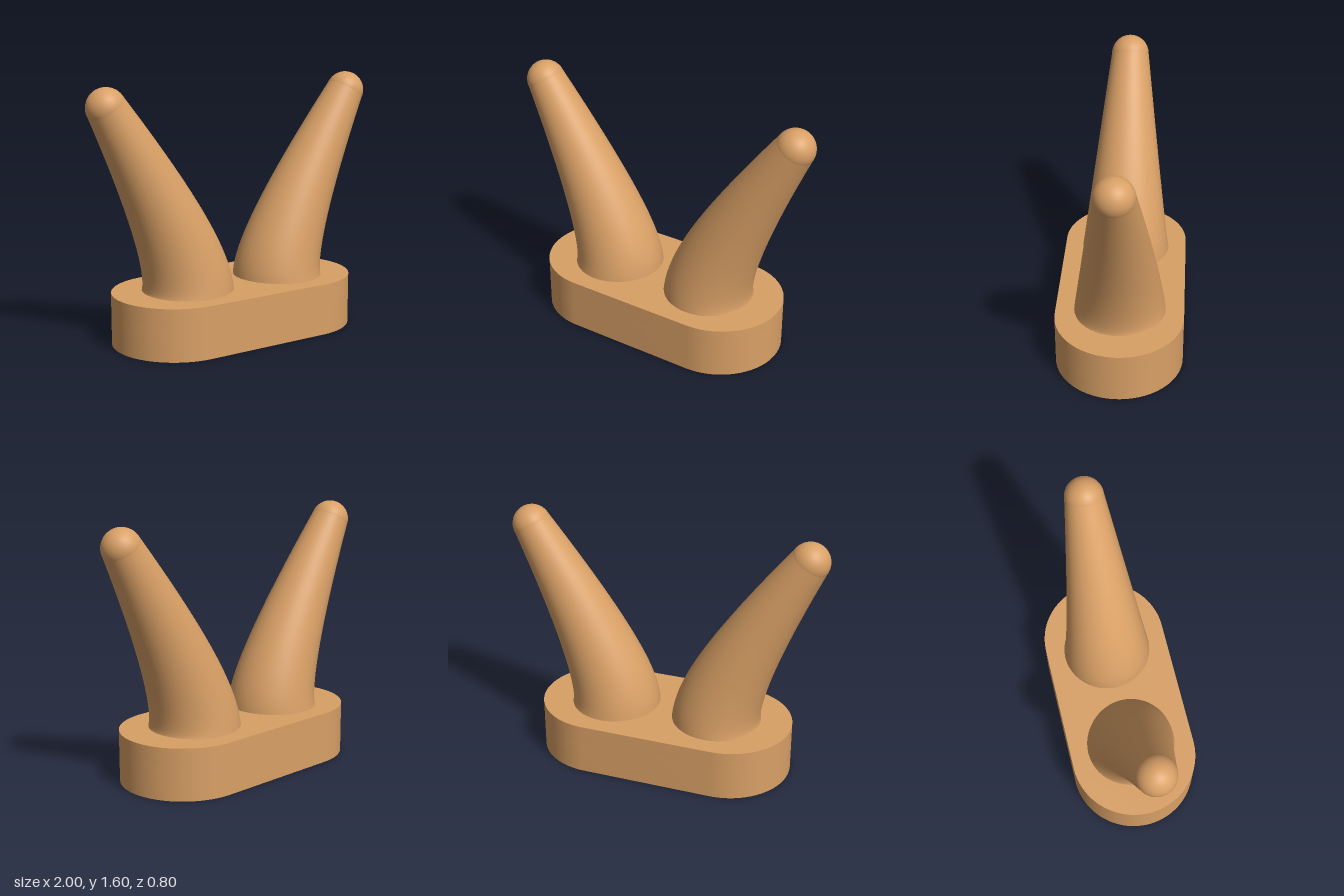
import * as THREE from 'three';
import { toCreasedNormals } from 'three/addons/utils/BufferGeometryUtils.js';
import { ParametricGeometry } from 'three/addons/geometries/ParametricGeometry.js';

const BASE_TOP = 0.325, SOCKET_DEPTH = 0.22, END_X = 0.42;
const ROOT_RADIUS = 0.285, TIP_RADIUS = 0.12;

// Slab with rounded ends, lying between two heights
function slab(y0, y1, sockets) {
  const shape = new THREE.Shape();
  shape.absarc(END_X, 0, 0.4, -Math.PI / 2, Math.PI / 2);
  shape.absarc(-END_X, 0, 0.4, Math.PI / 2, Math.PI * 1.5);
  shape.closePath();
  if (sockets) {
    for (const side of [-1, 1]) {
      shape.holes.push(new THREE.Path().absarc(side * END_X, 0, 0.225, 0, Math.PI * 2, true));
    }
  }
  const geometry = new THREE.ExtrudeGeometry(shape, { depth: y1 - y0, bevelEnabled: false, curveSegments: 32 });
  geometry.rotateX(-Math.PI / 2).translate(0, y0, 0);
  return toCreasedNormals(geometry, 0.6);
}

export function createModel() {
  const model = new THREE.Group();
  const tan = new THREE.MeshStandardMaterial({ color: 0xd9a066 });
  tan.name = 'tan';

  const add = (parent, name, geometry) => {
    const mesh = new THREE.Mesh(geometry, tan);
    mesh.name = name;
    parent.add(mesh);
    return mesh;
  };

  // Base with two blind sockets underneath
  add(model, 'baseLower', slab(0, SOCKET_DEPTH, true));
  add(model, 'baseUpper', slab(SOCKET_DEPTH, BASE_TOP, false));

  // Horn: tapered sweep along an outward-bending curve
  const tip = new THREE.Vector3(0.88, 1.48, 0);
  const axis = new THREE.QuadraticBezierCurve3(
    new THREE.Vector3(0.34, BASE_TOP, 0), new THREE.Vector3(0.345, 0.6, 0), tip);
  const centre = new THREE.Vector3(), tangent = new THREE.Vector3();
  const hornGeometry = new ParametricGeometry((u, v, target) => {
    axis.getPoint(v, centre);
    axis.getTangent(v, tangent);
    const k = (centre.y - BASE_TOP) / (tip.y - BASE_TOP);
    const r = THREE.MathUtils.lerp(ROOT_RADIUS, TIP_RADIUS, k);
    const a = u * Math.PI * 2, c = r * Math.cos(a);
    target.set(centre.x + c * tangent.y, centre.y - c * tangent.x, -r * Math.sin(a));
  }, 48, 32);
  const tipGeometry = new THREE.SphereGeometry(TIP_RADIUS, 40, 24);

  // The right horn is the left one turned half way round
  for (const [name, turn] of [['leftHorn', 0], ['rightHorn', Math.PI]]) {
    const horn = new THREE.Group();
    horn.name = name;
    add(horn, name + 'Shaft', hornGeometry);
    add(horn, name + 'Tip', tipGeometry).position.copy(tip);
    horn.rotation.y = turn;
    model.add(horn);
  }
  return model;
}
